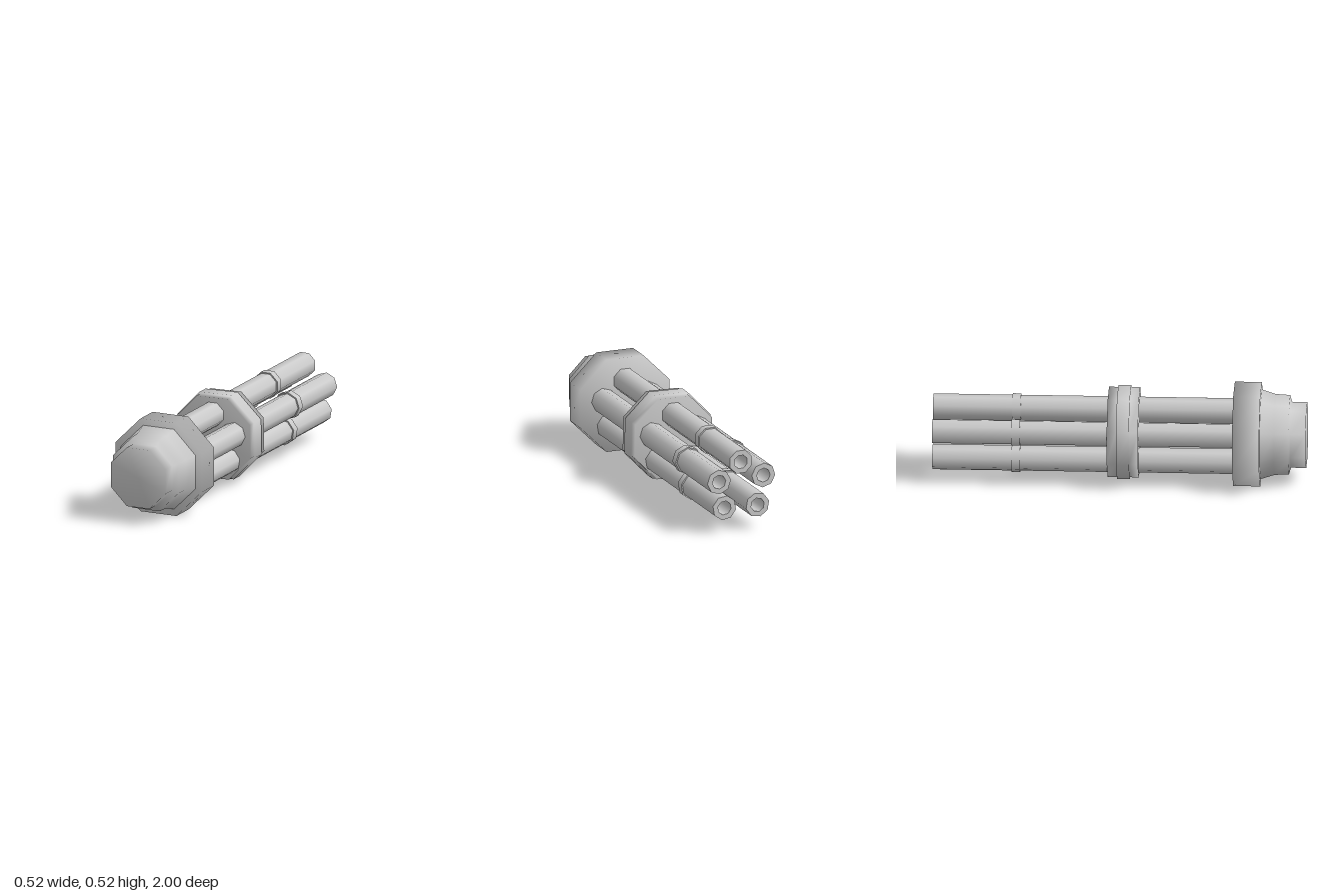
import * as THREE from 'three';
import { mergeGeometries } from 'three/addons/utils/BufferGeometryUtils.js';

const SIDES = 8;
const AXIS_Y = 0.258;
const TO_RADIUS = 1 / Math.cos(Math.PI / SIDES); // flat-to-centre distance -> corner radius
const material = new THREE.MeshStandardMaterial({ color: 0xcccccc });

// Eight-sided turned form along z; profile entries are [flat distance, z], back to front.
function turned(profile) {
  const points = profile.map(([r, z]) => new THREE.Vector2(r * TO_RADIUS, z));
  return new THREE.LatheGeometry(points, SIDES, Math.PI / SIDES).rotateX(Math.PI / 2);
}

// Same, but with a sharp edge at every profile point.
function turnedSharp(profile) {
  return mergeGeometries(profile.slice(1).map((p, i) => turned([profile[i], p])));
}

function add(parent, name, geometry) {
  const mesh = new THREE.Mesh(geometry, material);
  mesh.name = name;
  parent.add(mesh);
  return mesh;
}

export function createModel() {
  const model = new THREE.Group();
  model.name = 'rotaryBarrels';
  const assembly = new THREE.Group();
  assembly.name = 'barrelAssembly';
  assembly.position.y = AXIS_Y;
  model.add(assembly);

  // Wide mounting flange
  add(assembly, 'flange', turned([
    [0, 0.61], [0.258, 0.61], [0.258, 0.755], [0, 0.755],
  ]));

  // Stepped housing in front of the flange, closed at its tip
  add(assembly, 'housing', turned([
    [0.222, 0.755], [0.2, 0.83], [0.196, 0.908], [0.163, 0.918], [0.163, 1], [0, 1],
  ]));

  // Stepped support disc halfway along the barrels
  add(assembly, 'supportDisc', turned([
    [0, -0.063], [0.223, -0.063], [0.223, -0.013], [0.233, -0.013],
    [0.233, 0.056], [0.223, 0.056], [0.223, 0.104], [0, 0.104],
  ])).rotation.z = 0.02;

  // Five hollow barrels in a ring, each with a narrow band
  const barrelGeometry = turnedSharp([
    [0, -0.75], [0.036, -0.75], [0.036, -1], [0.063, -1], [0.063, 0.62],
  ]);
  const bandGeometry = turnedSharp([
    [0.06, -0.576], [0.07, -0.576], [0.07, -0.53], [0.06, -0.53],
  ]);
  const centres = [[0, 0.132], [-0.131, 0.042], [-0.097, -0.12], [0.095, -0.115], [0.126, 0.033]];
  centres.forEach(([x, y], i) => {
    const barrel = new THREE.Group();
    barrel.name = 'barrel' + (i + 1);
    barrel.position.set(x, y, 0);
    barrel.rotation.z = (i * Math.PI * 2) / 5;
    add(barrel, 'tube', barrelGeometry);
    add(barrel, 'band', bandGeometry);
    assembly.add(barrel);
  });
  return model;
}
